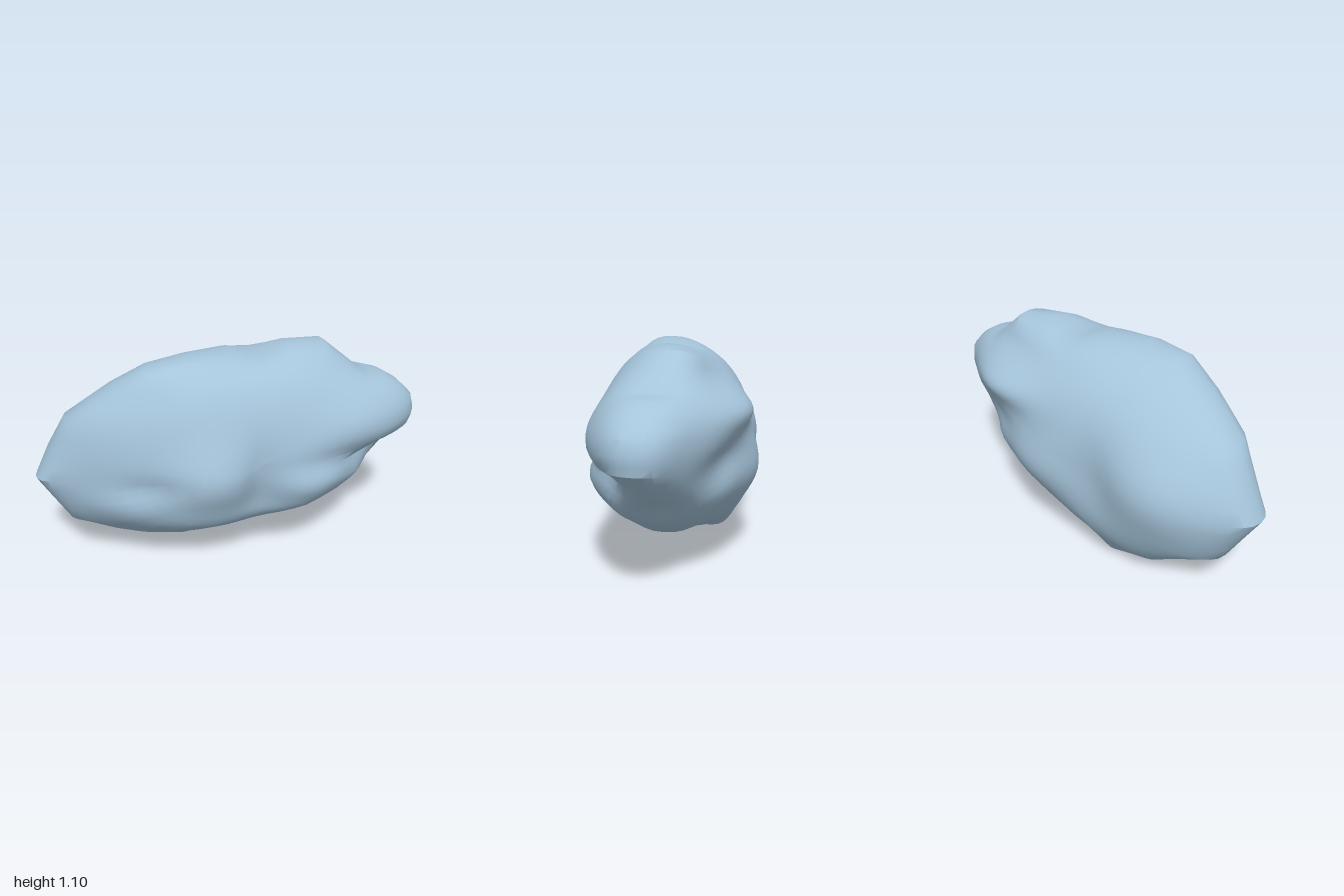
import * as THREE from 'three';
import { toCreasedNormals } from 'three/addons/utils/BufferGeometryUtils.js';

// Widest outline of the boulder, counter-clockwise: x, y, z
const RIM = [
  [1, 0.72, 0.02], [0.98, 0.79, 0.02], [0.9, 0.865, 0.02], [0.82, 0.91, 0.01], [0.7, 0.93, 0],
  [0.6, 1.01, -0.03], [0.5, 1.09, -0.04], [0.3, 1.1, 0], [0.15, 1.06, 0], [0, 1.09, 0.02],
  [-0.23, 1.09, 0.08], [-0.43, 1.06, 0.1], [-0.6, 0.96, 0.05], [-0.83, 0.8, 0], [-0.93, 0.62, -0.03],
  [-1, 0.48, -0.03], [-0.93, 0.36, -0.04], [-0.85, 0.22, -0.05], [-0.65, 0.13, -0.08], [-0.54, 0.07, -0.11],
  [-0.28, 0, -0.13], [-0.07, 0.11, -0.08], [0.1, 0.13, -0.06], [0.27, 0.19, -0.03], [0.43, 0.21, 0],
  [0.59, 0.31, 0.02], [0.66, 0.4, 0.03], [0.88, 0.54, 0.03], [0.99, 0.64, 0.03],
];

// Swells and hollows on each face: x, y, height, x spread, y spread
const FRONT = [
  [-0.18, 0.53, 0.08, 0.22, 0.2], [0.38, 0.43, 0.08, 0.2, 0.13], [0.62, 0.76, 0.02, 0.22, 0.12],
  [0.58, 0.57, -0.04, 0.22, 0.07], [0.08, 0.45, -0.04, 0.09, 0.22], [-0.6, 0.38, 0.04, 0.2, 0.1],
  [-0.2, 0.27, 0.06, 0.35, 0.1], [0.35, 0.29, 0.06, 0.25, 0.08], [-0.85, 0.55, -0.06, 0.2, 0.3],
  [-0.48, 0.51, -0.03, 0.16, 0.06],
];
const BACK = [
  [0.15, 0.45, 0.06, 0.25, 0.17], [0.42, 0.82, 0.09, 0.24, 0.09], [0.4, 0.98, -0.05, 0.22, 0.07],
  [-0.68, 0.55, 0.07, 0.28, 0.22], [-0.25, 0.5, -0.04, 0.14, 0.25], [0.55, 0.6, -0.05, 0.22, 0.09],
  [0.5, 0.42, 0.03, 0.15, 0.12], [0.85, 0.7, -0.05, 0.15, 0.15],
];
// Folds pressed into the left end: y, z, depth, y spread, z spread
const FOLDS = [[0.54, 0.19, -0.13, 0.07, 0.11], [0.37, 0.16, 0.05, 0.08, 0.13], [0.53, -0.28, -0.07, 0.08, 0.09]];

const swell = (list, u, v) => list.reduce((sum, [cu, cv, h, su, sv]) =>
  sum + h * Math.exp(-(((u - cu) / su) ** 2) - ((v - cv) / sv) ** 2), 0);
const foldAt = (list, y, z) => list.reduce((sum, [cy, cz, h, sy, sz]) =>
  sum + h * Math.exp(-(((y - cy) / sy) ** 2) - ((z - cz) / sz) ** 2), 0);

const mix = (a, b, t) => a.map((v, k) => v + (b[k] - v) * t);
const next = (loop, j, step) => loop[(j + step + loop.length) % loop.length];
const subdivide = (loop) => loop.flatMap((p, j) => [p, mix(p, next(loop, j, 1), 0.5)]);
const soften = (loop) => loop.map((p, j) => mix(p, mix(next(loop, j, -1), next(loop, j, 1), 0.5), 0.6));

export function createModel() {
  const group = new THREE.Group();
  const stone = new THREE.MeshStandardMaterial({ color: 0xa5c4da });
  stone.name = 'pale blue stone';

  // The sharp outline holds only at the rim; inner rings follow a softened one
  const rim = subdivide(RIM);
  const soft = subdivide(soften(soften(soften(RIM))));

  // Rings run from the front pole, over the rim, to the back pole
  const rows = 36, n = rim.length, px = 0.02, py = 0.6;
  const positions = [], index = [];
  for (let i = 0; i <= rows; i++) {
    const phi = (i / rows) * Math.PI;
    const s = Math.sin(phi), c = Math.cos(phi);
    const bulge = Math.sign(c) * Math.abs(c) ** 0.82;
    for (let j = 0; j < n; j++) {
      const [rx, ry, rz] = mix(soft[j], rim[j], s ** 14);
      const x = px + (rx - px) * s, y = py + (ry - py) * s;
      const depth = c > 0 ? 0.37 + swell(FRONT, x, y) : 0.38 + swell(BACK, x, y);
      const z = rz * s * s + depth * bulge;
      const end = THREE.MathUtils.smoothstep(x, 0.35, 0.75);
      positions.push(x + end * foldAt(FOLDS, y, z), y, z);
    }
  }
  for (let i = 0; i < rows; i++) {
    for (let j = 0; j < n; j++) {
      const k = (j + 1) % n;
      const a = i * n + j, b = a + n, d = i * n + k, e = d + n;
      if (i < rows - 1) index.push(a, b, e);
      if (i > 0) index.push(a, e, d);
    }
  }
  const geometry = new THREE.BufferGeometry();
  geometry.setAttribute('position', new THREE.Float32BufferAttribute(positions, 3));
  geometry.setIndex(index);

  const boulder = new THREE.Mesh(toCreasedNormals(geometry, 0.6), stone);
  boulder.name = 'boulder';
  group.add(boulder);
  return group;
}
